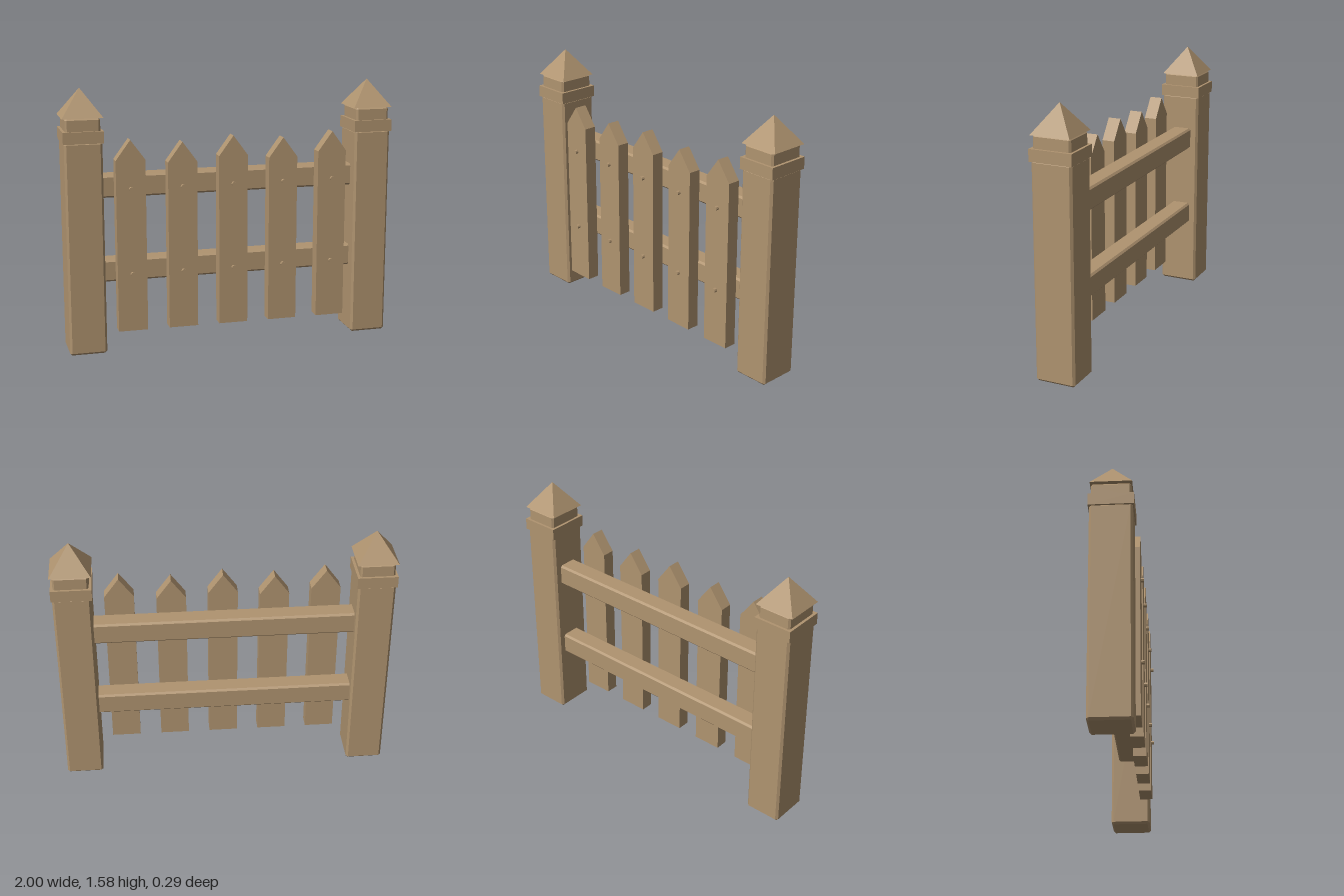
import * as THREE from 'three';
import { ConvexGeometry } from 'three/addons/geometries/ConvexGeometry.js';

const wood = new THREE.MeshStandardMaterial({ color: 0xb09470, flatShading: true });
wood.name = 'wood';

function add(parent, name, geometry, x, y, z) {
  const mesh = new THREE.Mesh(geometry, wood);
  mesh.name = name;
  mesh.position.set(x, y, z);
  parent.add(mesh);
  return mesh;
}

// Box with every edge cut off at 45 degrees
function chamferBox(w, h, d, c) {
  const points = [];
  for (const sx of [-1, 1]) for (const sy of [-1, 1]) for (const sz of [-1, 1]) {
    const x = w / 2, y = h / 2, z = d / 2;
    points.push(
      new THREE.Vector3(sx * x, sy * (y - c), sz * (z - c)),
      new THREE.Vector3(sx * (x - c), sy * y, sz * (z - c)),
      new THREE.Vector3(sx * (x - c), sy * (y - c), sz * z));
  }
  return new ConvexGeometry(points);
}

// Pointed board, standing on y = 0 and centred in depth
function picketGeometry(width, shoulder, tip, depth) {
  const w = width / 2;
  const shape = new THREE.Shape([
    new THREE.Vector2(-w, 0), new THREE.Vector2(w, 0),
    new THREE.Vector2(w, shoulder), new THREE.Vector2(0, tip),
    new THREE.Vector2(-w, shoulder)]);
  const geometry = new THREE.ExtrudeGeometry(shape, { depth, bevelEnabled: false });
  return geometry.translate(0, 0, -depth / 2);
}

export function createModel() {
  const fence = new THREE.Group();
  fence.name = 'picketFence';

  // Posts: body, collar, neck and pyramid cap
  for (const side of [-1, 1]) {
    const post = new THREE.Group();
    post.name = side > 0 ? 'leftPost' : 'rightPost';
    post.position.set(side * 0.88, 0, -0.017);
    add(post, 'postBody', chamferBox(0.222, 1.275, 0.242, 0.013), 0, 0.6375, 0);
    add(post, 'postCollar', new THREE.BoxGeometry(0.236, 0.07, 0.256), 0, 1.302, 0);
    add(post, 'postNeck', chamferBox(0.204, 0.1, 0.226, 0.011), 0, 1.363, 0);
    const cap = new THREE.ConeGeometry(Math.SQRT1_2, 0.163, 4);
    cap.rotateY(Math.PI / 4).scale(0.24, 1, 0.236);
    add(post, 'postCap', cap, 0, 1.4935, 0);
    fence.add(post);
  }

  // Horizontal rails running into the posts
  for (const y of [0.485, 0.995]) {
    add(fence, 'rail', chamferBox(1.6, 0.132, 0.12, 0.011), 0, y, -0.03);
  }

  // Pickets, every second one a little shorter, each with two nails
  for (let i = -2; i <= 2; i++) {
    const x = i * 0.307;
    const drop = i % 2 ? 0.024 : 0;
    add(fence, 'picket', picketGeometry(0.175, 1.028 - drop, 1.147 - drop, 0.077), x, 0.136, 0.088);
    for (const y of [0.485, 0.996]) {
      const nail = new THREE.CylinderGeometry(0.013, 0.013, 0.035, 8).rotateX(Math.PI / 2);
      add(fence, 'nail', nail, x, y, 0.1275);
    }
  }
  return fence;
}
